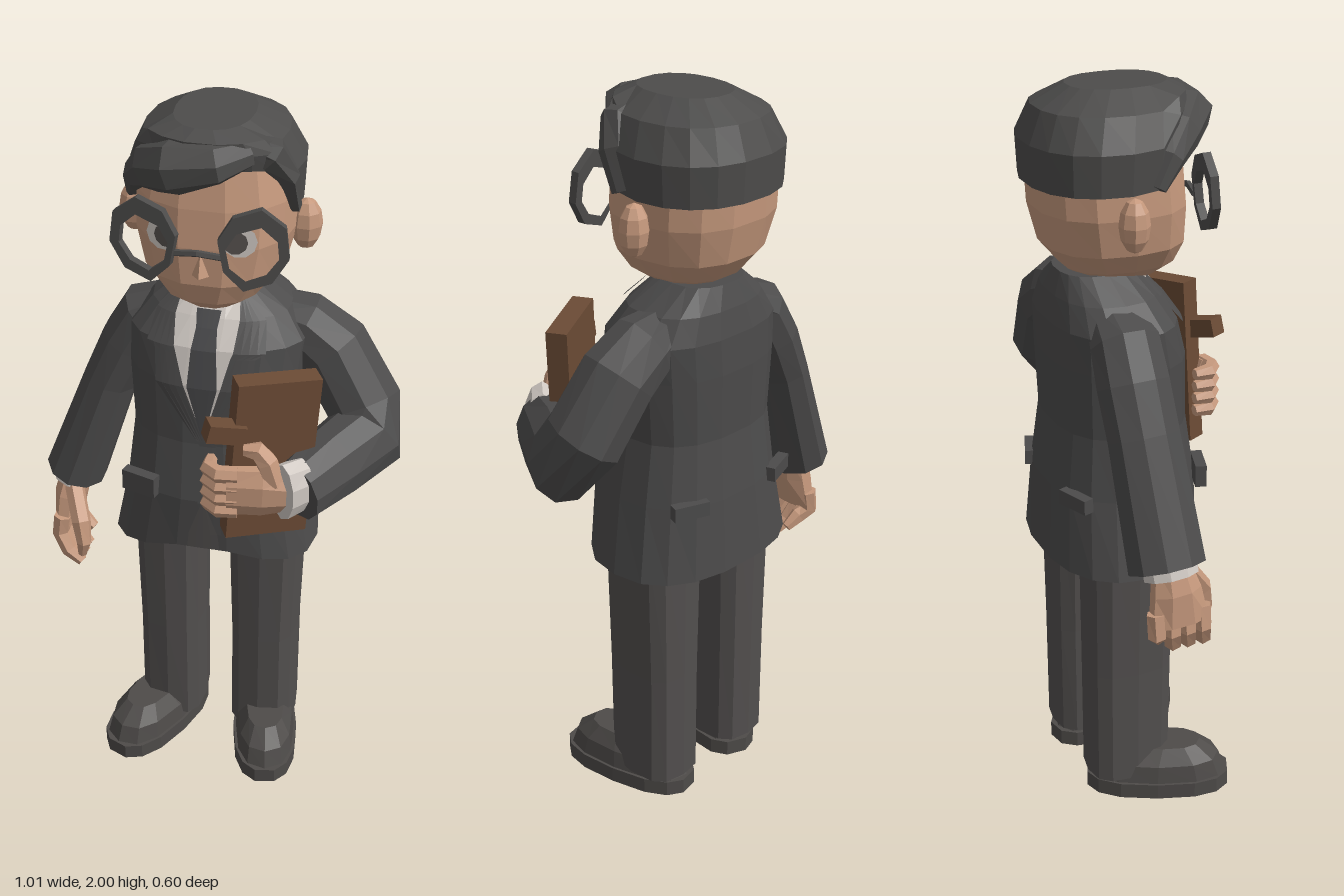
import * as THREE from 'three';

const mat = (name, color) => Object.assign(new THREE.MeshStandardMaterial({ color }), { name });
const M = {
  suit: mat('suit grey', 0x4c4b4b), trousers: mat('trouser grey', 0x524f4e), hair: mat('hair grey', 0x4d4c4b),
  skin: mat('skin', 0xc6997d), shirt: mat('shirt white', 0xcfc8c2), tie: mat('tie grey', 0x474749),
  book: mat('book brown', 0x6b4b35), shoe: mat('shoe grey', 0x4e4b49), iris: mat('iris grey', 0x55504d),
};
const V = (x, y, z) => new THREE.Vector3(x, y, z);

// Faceted mesh with a name
function add(parent, name, geo, material) {
  const g = geo.index ? geo.toNonIndexed() : geo;
  g.computeVertexNormals();
  const mesh = new THREE.Mesh(g, material);
  mesh.name = name;
  parent.add(mesh);
  return mesh;
}

// Closed skin over a stack of rings
function skin(rings) {
  const n = rings[0].length, pos = [], idx = [];
  rings.forEach(r => r.forEach(p => pos.push(p.x, p.y, p.z)));
  for (let i = 0; i < rings.length - 1; i++) for (let j = 0; j < n; j++) {
    const a = i * n + j, b = i * n + (j + 1) % n;
    idx.push(a, b, a + n, b, b + n, a + n);
  }
  [0, rings.length - 1].forEach((k, end) => {
    const c = rings[k].reduce((s, p) => s.add(p), V(0, 0, 0)).divideScalar(n), ci = pos.length / 3;
    pos.push(c.x, c.y, c.z);
    for (let j = 0; j < n; j++) {
      const a = k * n + j, b = k * n + (j + 1) % n;
      end ? idx.push(ci, a, b) : idx.push(ci, b, a);
    }
  });
  const g = new THREE.BufferGeometry();
  g.setAttribute('position', new THREE.Float32BufferAttribute(pos, 3));
  g.setIndex(idx);
  return g;
}

const pw = (v, e) => Math.sign(v) * Math.abs(v) ** (2 / e);
// Horizontal rounded sections: [y, xMin, xMax, zMin, zMax]
function stack(sections, n = 14, e = 2.5, shift = () => 0) {
  return skin(sections.map(([y, x0, x1, z0, z1], k) => Array.from({ length: n }, (_, j) => {
    const a = j / n * Math.PI * 2, c = pw(Math.cos(a), e), s = -pw(Math.sin(a), e);
    return V((x0 + x1) / 2 + (x1 - x0) / 2 * c, y + shift(k, c, s), (z0 + z1) / 2 + (z1 - z0) / 2 * s);
  })));
}

// Tapered limb along points: [x, y, z, radiusU, radiusV]
function limb(pts, n = 8, ref = V(1, 0, 0)) {
  const c = pts.map(p => V(p[0], p[1], p[2])), u = ref.clone();
  return skin(pts.map(([, , , ru, rv = ru], i) => {
    const t = c[Math.min(i + 1, c.length - 1)].clone().sub(c[Math.max(i - 1, 0)]).normalize();
    u.addScaledVector(t, -u.dot(t)).normalize();
    const v = t.clone().cross(u);
    return Array.from({ length: n }, (_, j) => {
      const a = (j + 0.5) / n * Math.PI * 2;
      return c[i].clone().addScaledVector(u, ru * Math.cos(a)).addScaledVector(v, rv * Math.sin(a));
    });
  }));
}

const TORSO = [
  [0.75, -0.285, 0.29, -0.28, 0.135], [0.95, -0.24, 0.255, -0.265, 0.14], [1.12, -0.22, 0.225, -0.245, 0.115],
  [1.3, -0.23, 0.24, -0.25, 0.11], [1.4, -0.23, 0.25, -0.248, 0.085], [1.47, -0.175, 0.2, -0.235, 0.04],
  [1.53, -0.1, 0.11, -0.215, -0.01]];

// Depth of the jacket front at a point
function frontZ(x, y) {
  let i = 0;
  while (i < TORSO.length - 2 && TORSO[i + 1][0] < y) i++;
  const A = TORSO[i], B = TORSO[i + 1], t = (y - A[0]) / (B[0] - A[0]);
  const [, x0, x1, z0, z1] = A.map((v, k) => v + (B[k] - v) * t);
  const f = Math.min(1, Math.abs(x - (x0 + x1) / 2) / ((x1 - x0) / 2));
  return (z0 + z1) / 2 + (z1 - z0) / 2 * (1 - f ** 2.5) ** 0.4;
}

// Cloth strip on the jacket front; rows from top to bottom: [y, xMin, xMax]
function strip(rows, off, cols = 4) {
  const pos = [], idx = [], w = cols + 1;
  rows.forEach(([y, a, b]) => {
    for (let j = 0; j <= cols; j++) { const x = a + (b - a) * j / cols; pos.push(x, y, frontZ(x, y) + off); }
  });
  for (let i = 0; i < rows.length - 1; i++) for (let j = 0; j < cols; j++) {
    const a = i * w + j;
    idx.push(a, a + w, a + 1, a + 1, a + w, a + w + 1);
  }
  const g = new THREE.BufferGeometry();
  g.setAttribute('position', new THREE.Float32BufferAttribute(pos, 3));
  g.setIndex(idx);
  return g;
}

function buildHead(root) {
  const head = new THREE.Group();
  head.name = 'head';
  root.add(head);
  add(head, 'neck', new THREE.CylinderGeometry(0.085, 0.09, 0.18, 10), M.skin).position.set(0, 1.49, -0.075);
  add(head, 'face', stack([
    [1.5, -0.07, 0.07, -0.13, 0.05], [1.54, -0.13, 0.13, -0.2, 0.1], [1.6, -0.18, 0.18, -0.25, 0.12],
    [1.7, -0.205, 0.205, -0.275, 0.12], [1.8, -0.205, 0.205, -0.28, 0.11], [1.9, -0.185, 0.185, -0.265, 0.09],
    [1.96, -0.12, 0.12, -0.2, 0.03]], 14, 2.4), M.skin);
  const nose = add(head, 'nose', new THREE.ConeGeometry(0.022, 0.06, 4), M.skin);
  nose.position.set(0, 1.66, 0.12);

  // Hair cap with sideburns and a raised front hairline
  const hairRows = [[0, 0.215, -0.295, 0.105], [0.45, 0.22, -0.3, 0.115], [0.8, 0.18, -0.265, 0.12], [1, 0.1, -0.18, 0.08]];
  add(head, 'hair', stack(hairRows.map(([t, x, z0, z1]) => [2, -x, x, z0, z1]), 18, 2.3, (k, c, s) => {
    const rim = 1.765 + 0.14 * THREE.MathUtils.smoothstep(s, 0.35, 0.75);
    return (rim - 2) * (1 - hairRows[k][0]);
  }), M.hair);
  // Quiff swept to the right from the parting
  add(head, 'fringe', limb([[0.1, 1.945, 0.06, 0.035, 0.05], [0.035, 1.935, 0.105, 0.05, 0.08], [-0.06, 1.915, 0.105, 0.07, 0.08],
    [-0.13, 1.885, 0.06, 0.065, 0.06], [-0.18, 1.84, 0.01, 0.04, 0.045], [-0.2, 1.775, -0.03, 0.015, 0.03]], 8, V(0, 1, 0)), M.hair);
  add(head, 'sideTuft', limb([[0.1, 1.95, 0.03, 0.03], [0.155, 1.93, 0.03, 0.045, 0.045], [0.19, 1.87, 0, 0.03, 0.045],
    [0.2, 1.775, -0.04, 0.018, 0.035]], 7, V(0, 1, 0)), M.hair);

  // Thick angular spectacle rim outline and opening
  const outer = [[-0.085, 0.02], [-0.05, 0.08], [0.02, 0.105], [0.08, 0.06], [0.09, -0.02], [0.05, -0.085], [-0.02, -0.11], [-0.07, -0.06]];
  const inner = [[-0.065, 0], [-0.04, 0.04], [0.02, 0.06], [0.06, 0.025], [0.065, -0.02], [0.035, -0.062], [-0.015, -0.082], [-0.055, -0.05]];
  for (const s of [-1, 1]) {
    const side = s > 0 ? 'left' : 'right';
    const ear = add(head, side + 'Ear', new THREE.SphereGeometry(1, 8, 6), M.skin);
    ear.scale.set(0.042, 0.07, 0.04);
    ear.position.set(s * 0.224, 1.695, -0.095);
    ear.rotation.y = s * 0.35;
    const flip = p => new THREE.Vector2(p[0] * s, p[1]);
    const shape = new THREE.Shape(outer.map(flip));
    shape.holes.push(new THREE.Path(inner.map(flip)));
    const rim = add(head, side + 'GlassesRim', new THREE.ExtrudeGeometry(shape, { depth: 0.022, bevelEnabled: false }), M.hair);
    rim.position.set(s * 0.133, 1.73, 0.128);
    rim.rotation.set(-0.06, s * 0.15, 0);
    [['EyeWhite', 0.043, 0.098, 0.113, M.shirt], ['Iris', 0.031, 0.088, 0.12, M.iris]].forEach(([name, r, x, z, m]) => {
      const eye = add(head, side + name, new THREE.CircleGeometry(r, 10), m);
      eye.position.set(s * x, 1.73, z);
      eye.rotation.y = s * 0.25;
    });
  }
  add(head, 'glassesBridge', limb([[-0.06, 1.7, 0.145, 0.009], [0, 1.71, 0.155, 0.009], [0.06, 1.7, 0.145, 0.009]], 5, V(0, 1, 0)), M.hair);
}

function buildBody(root) {
  // Jacket, with the hem lifted at the front opening
  add(root, 'jacket', stack(TORSO, 18, 2.5, (k, c, s) => k ? 0 : -0.012 + 0.07 * Math.max(0, s) * (1 - Math.abs(c))), M.suit);
  add(root, 'shirtFront', strip([[1.53, -0.075, 0.08], [1.47, -0.09, 0.09], [1.4, -0.08, 0.08], [1.3, -0.05, 0.055], [1.16, 0, 0.01]], 0.006), M.shirt);
  add(root, 'shirtCollar', new THREE.CylinderGeometry(0.093, 0.115, 0.08, 10), M.shirt).position.set(0, 1.49, -0.085);
  add(root, 'tie', strip([[1.49, -0.03, 0.035], [1.45, -0.025, 0.03], [1.4, -0.032, 0.035], [1.3, -0.038, 0.042], [1.16, 0, 0.01]], 0.014), M.tie);
  add(root, 'rightLapel', strip([[1.51, -0.1, -0.078], [1.47, -0.14, -0.085], [1.4, -0.155, -0.078], [1.385, -0.13, -0.072],
    [1.3, -0.125, -0.05], [1.14, -0.01, 0.01]], 0.014), M.suit);
  add(root, 'leftLapel', strip([[1.51, 0.078, 0.1], [1.47, 0.085, 0.15], [1.4, 0.078, 0.16], [1.385, 0.072, 0.135],
    [1.3, 0.05, 0.13], [1.14, 0.005, 0.02]], 0.014), M.suit);
  add(root, 'jacketOverlap', strip([[1.16, -0.01, 0.02], [1.12, -0.005, 0.04], [0.95, -0.005, 0.05], [0.85, 0.02, 0.06]], 0.006), M.suit);
  // Trouser cloth in the opening below the button
  add(root, 'jacketOpening', strip([[0.95, 0.005, 0.015], [0.85, -0.03, 0.05], [0.8, -0.035, 0.055]], 0.009), M.trousers);
  [['frontPocket', -0.17, 0.975, 0.115, -0.3, 0.06], ['rightBackPocket', -0.17, 0.95, -0.238, 0.35, 0.04],
    ['leftBackPocket', 0.17, 0.95, -0.238, -0.35, 0.04]].forEach(([name, x, y, z, ry, h]) => {
    const p = add(root, name, new THREE.BoxGeometry(0.1, h, 0.03), M.suit);
    p.position.set(x, y, z);
    p.rotation.y = ry;
  });

  // Trousers and shoes
  add(root, 'trouserSeat', stack([[0.74, -0.21, 0.22, -0.2, 0.04], [0.9, -0.22, 0.23, -0.2, 0.06]], 12, 3), M.trousers);
  [['right', [-0.22, -0.035], [-0.23, -0.03], -0.17, -0.4, 0.1], ['left', [0.052, 0.243], [0.04, 0.255], 0.165, 0.2, 0.095]].forEach(([n, lo, hi, x, turn, w]) => {
    add(root, n + 'TrouserLeg', stack([[0.06, ...lo, -0.198, 0.035], [0.4, ...lo, -0.2, 0.04], [0.82, ...hi, -0.203, 0.045]], 12, 3), M.trousers);
    const shoe = new THREE.Group();
    shoe.name = n + 'Shoe';
    shoe.position.x = x;
    shoe.rotation.y = turn;
    root.add(shoe);
    add(shoe, 'sole', stack([[0, -w, w, -0.205, 0.205], [0.045, -w, w, -0.205, 0.205]], 14, 2.5), M.shoe);
    add(shoe, 'shoeUpper', stack([[0.04, 0.006 - w, w - 0.006, -0.196, 0.196], [0.095, 0.014 - w, w - 0.014, -0.17, 0.175],
      [0.137, -0.055, 0.055, -0.09, 0.12]], 12, 2.5), M.shoe);
  });
}

function buildArms(root) {
  // Hanging right arm
  add(root, 'rightSleeve', limb([[-0.1, 1.44, -0.11, 0.045, 0.07], [-0.2, 1.38, -0.11, 0.08, 0.095], [-0.25, 1.29, -0.11, 0.08, 0.1],
    [-0.305, 1.17, -0.105, 0.075, 0.1], [-0.417, 0.85, -0.09, 0.087, 0.108]], 10), M.suit);
  add(root, 'rightCuff', limb([[-0.405, 0.89, -0.085, 0.058, 0.075], [-0.423, 0.825, -0.08, 0.062, 0.076]], 10), M.shirt);
  add(root, 'rightPalm', limb([[-0.415, 0.86, -0.08, 0.04, 0.05], [-0.43, 0.78, -0.07, 0.046, 0.07], [-0.44, 0.69, -0.065, 0.035, 0.085]], 8), M.skin);
  for (let i = 0; i < 4; i++) {
    const z = -0.13 + i * 0.043, d = i === 0 ? 0.03 : 0;
    add(root, 'rightFinger', limb([[-0.44, 0.73, z, 0.026], [-0.448, 0.67, z, 0.026], [-0.42, 0.62 + d, z + 0.015, 0.024],
      [-0.38, 0.592 + d, z + 0.025, 0.015]], 6), M.skin);
  }
  add(root, 'rightThumb', limb([[-0.41, 0.82, -0.03, 0.028], [-0.375, 0.74, 0.03, 0.028], [-0.365, 0.68, 0.045, 0.022], [-0.375, 0.63, 0.035, 0.013]], 6), M.skin);

  // Bent left arm
  add(root, 'leftSleeve', limb([[0.12, 1.43, -0.11, 0.055, 0.07], [0.22, 1.39, -0.115, 0.095, 0.09], [0.3, 1.335, -0.11, 0.105, 0.1],
    [0.395, 1.19, -0.085, 0.105, 0.11], [0.412, 1.115, -0.03, 0.1, 0.115], [0.342, 1.1, 0.09, 0.088, 0.1], [0.278, 1.09, 0.22, 0.062, 0.085]], 10), M.suit);
  add(root, 'leftCuff', limb([[0.285, 1.1, 0.195, 0.05, 0.078], [0.242, 1.1, 0.247, 0.048, 0.085]], 10), M.shirt);

  // Book with its strap
  const book = add(root, 'book', new THREE.BoxGeometry(0.22, 0.465, 0.058), M.book);
  book.position.set(0.195, 1.16, 0.172);
  book.rotation.set(0, 0.5, -0.07);
  const strap = add(root, 'bookStrap', new THREE.BoxGeometry(0.1, 0.05, 0.05), M.book);
  strap.position.set(0.092, 1.268, 0.25);
  strap.rotation.set(0, 0.5, -0.25);

  // Left hand wrapped around the book
  add(root, 'leftPalm', limb([[0.26, 1.09, 0.225, 0.034, 0.058], [0.19, 1.095, 0.245, 0.036, 0.075], [0.1, 1.095, 0.262, 0.03, 0.074]], 8, V(0, 0, 1)), M.skin);
  for (let i = 0; i < 4; i++) {
    const y = 1.04 + i * 0.036;
    add(root, 'leftFinger', limb([[0.13, y, 0.265, 0.023], [0.08, y, 0.272, 0.024], [0.05, y, 0.25, 0.023], [0.047, y, 0.205, 0.016]], 6, V(0, 1, 0)), M.skin);
  }
  add(root, 'leftThumb', limb([[0.22, 1.12, 0.24, 0.03], [0.2, 1.185, 0.24, 0.03], [0.175, 1.215, 0.24, 0.027], [0.14, 1.215, 0.245, 0.016]], 6, V(0, 0, 1)), M.skin);
}

export function createModel() {
  const root = new THREE.Group();
  root.name = 'suitedMan';
  buildHead(root);
  buildBody(root);
  buildArms(root);
  return root;
}
